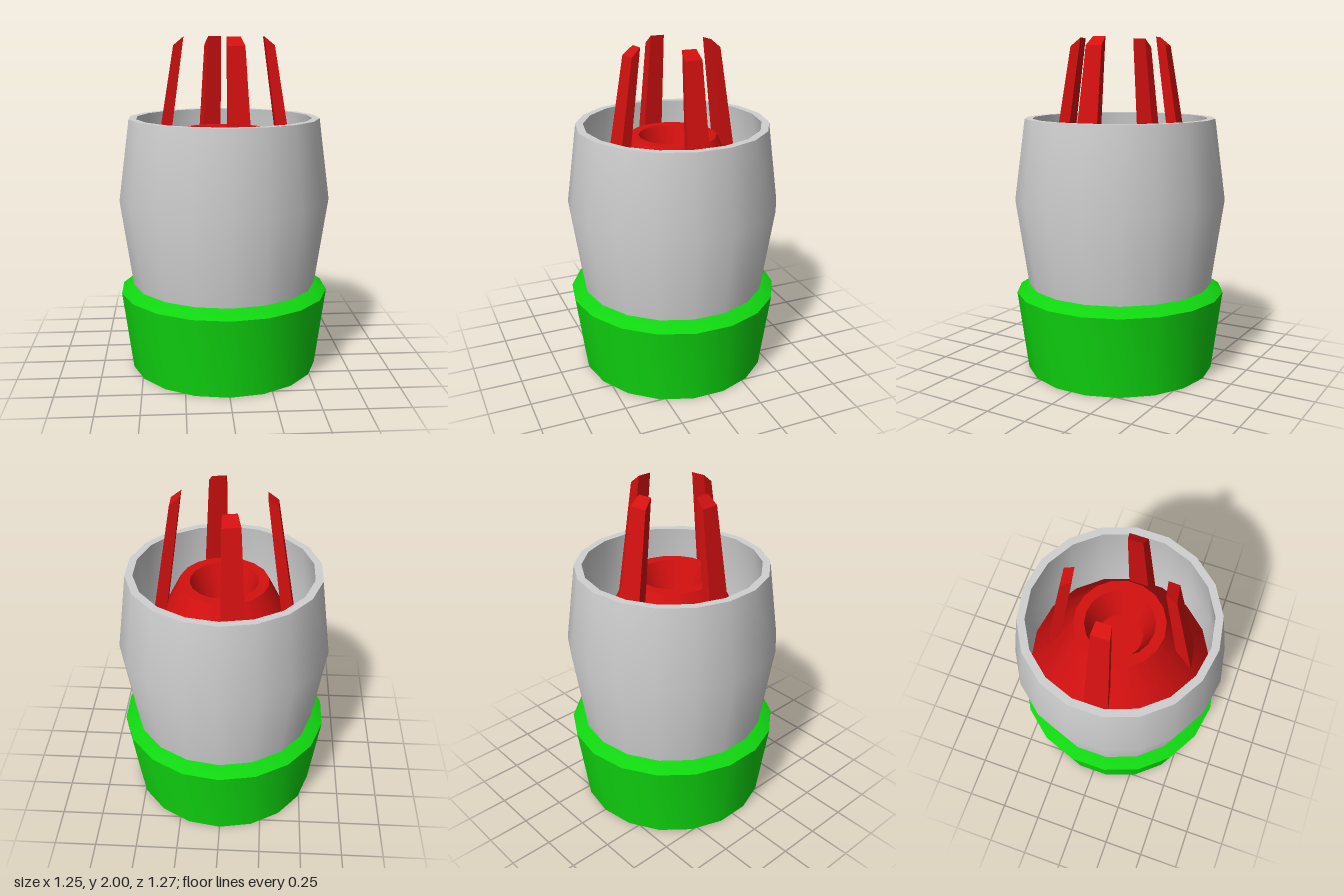
import * as THREE from 'three';
import { toCreasedNormals } from 'three/addons/utils/BufferGeometryUtils.js';
import { ConvexGeometry } from 'three/addons/geometries/ConvexGeometry.js';

const SIDES = 18;

function material(name, color) {
  const m = new THREE.MeshStandardMaterial({ color });
  m.name = name;
  return m;
}

// Round part from [radius, height] pairs, smooth except at strong edges
function turned(name, profile, mat) {
  const points = profile.map(([r, y]) => new THREE.Vector2(r, y));
  const mesh = new THREE.Mesh(toCreasedNormals(new THREE.LatheGeometry(points, SIDES), 0.6), mat);
  mesh.name = name;
  return mesh;
}

// Leaning prong: a radial slice 20 degrees wide, pointing to +z
function prongGeometry() {
  const section = [[0.46, 0.96], [0.295, 1.95], [0.235, 2], [0.374, 1]];
  const spread = Math.tan(Math.PI / SIDES);
  const points = section.flatMap(([r, y]) =>
    [-1, 1].map((s) => new THREE.Vector3(s * r * spread, y, r)));
  return new ConvexGeometry(points);
}

export function createModel() {
  const red = material('red', 0xd41010);
  const green = material('green', 0x10d610);
  const grey = material('light grey', 0xd0d0d0);
  const model = new THREE.Group();
  model.name = 'capsule';

  // Base collar with a tapered recess underneath
  model.add(turned('baseCollar', [
    [0, 0.12], [0.282, 0.12], [0.423, 0], [0.57, 0], [0.633, 0.48], [0.555, 0.53], [0, 0.53],
  ], green));

  // Bulging open shell
  model.add(turned('shell', [
    [0.557, 0.52], [0.633, 1.05], [0.568, 1.53], [0.523, 1.53], [0.585, 1.05], [0.53, 0.66],
  ], grey));

  // Inner cone with a shallow cup in its top
  model.add(turned('innerCone', [
    [0.57, 0.84], [0.26, 1.46], [0.2, 1.46], [0.132, 1.26], [0, 1.26],
  ], red));

  // Four prongs, the front and back ones turned half a facet
  const prongs = new THREE.Group();
  prongs.name = 'prongs';
  const geometry = prongGeometry();
  [10, 90, 190, 270].forEach((degrees) => {
    const prong = new THREE.Mesh(geometry, red);
    prong.name = 'prong';
    prong.rotation.y = THREE.MathUtils.degToRad(degrees);
    prongs.add(prong);
  });
  model.add(prongs);
  return model;
}
